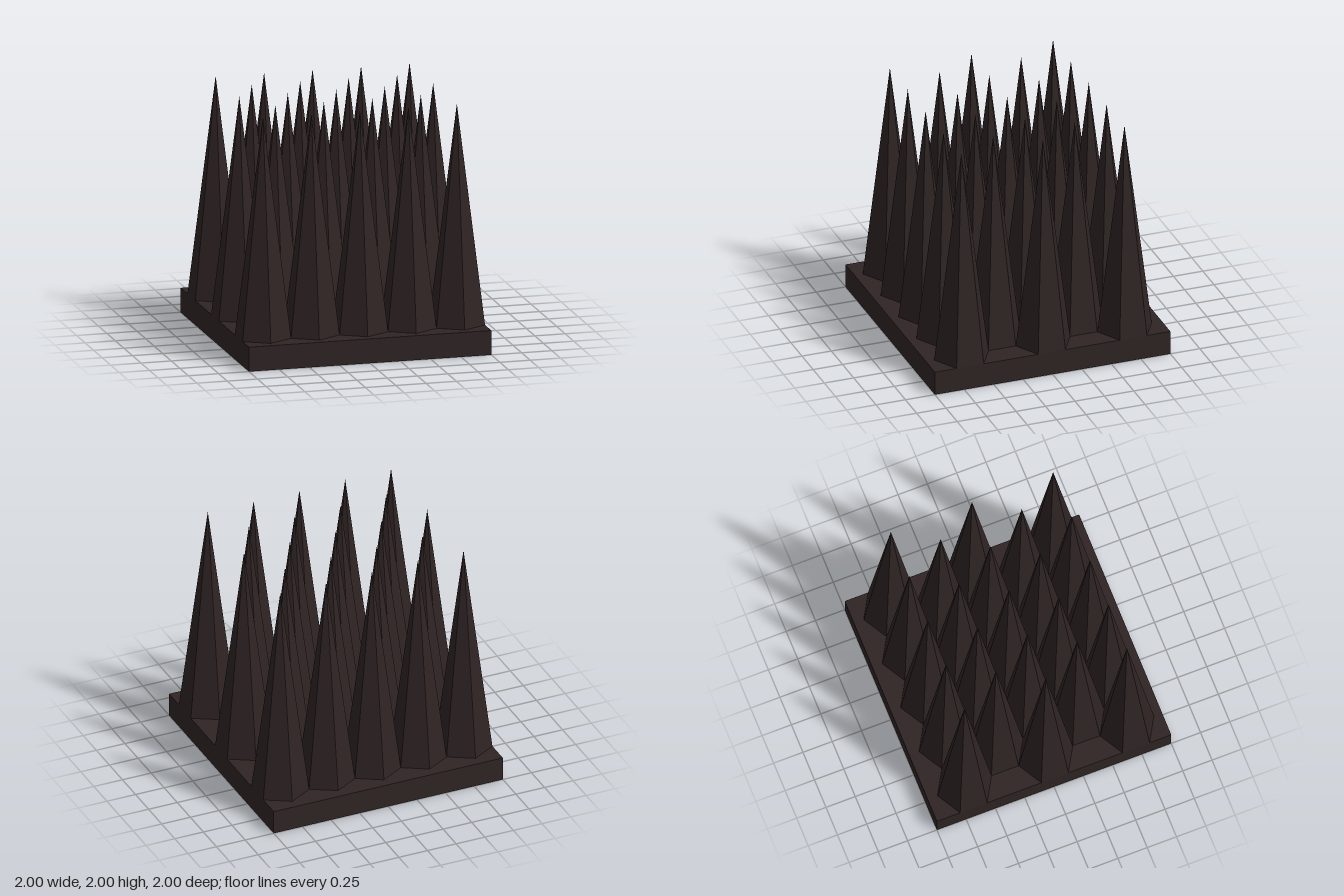
import * as THREE from 'three';

export function createModel() {
  const model = new THREE.Group();
  model.name = 'spikeTrap';

  const darkIron = new THREE.MeshStandardMaterial({ color: 0x2f2424, flatShading: true });
  darkIron.name = 'darkIron';

  // Square base slab
  const baseHeight = 0.2;
  const base = new THREE.Mesh(new THREE.BoxGeometry(2, baseHeight, 2), darkIron);
  base.name = 'base';
  base.position.y = baseHeight / 2;
  model.add(base);

  // Six-sided spikes packed edge to edge in staggered rows of five and four
  const halfWidth = 0.2;
  const spikeHeight = 1.8;
  const rowStep = halfWidth * Math.sqrt(3);
  const spikeGeometry = new THREE.ConeGeometry((halfWidth * 2) / Math.sqrt(3), spikeHeight, 6, 1, true);
  const spikes = new THREE.Group();
  spikes.name = 'spikes';
  for (let row = 0; row < 5; row++) {
    const count = row % 2 === 0 ? 5 : 4;
    for (let i = 0; i < count; i++) {
      const spike = new THREE.Mesh(spikeGeometry, darkIron);
      spike.name = 'spike';
      spike.position.set(
        (i - (count - 1) / 2) * halfWidth * 2,
        baseHeight + spikeHeight / 2,
        0.007 + (row - 2) * rowStep
      );
      spikes.add(spike);
    }
  }
  model.add(spikes);

  return model;
}
